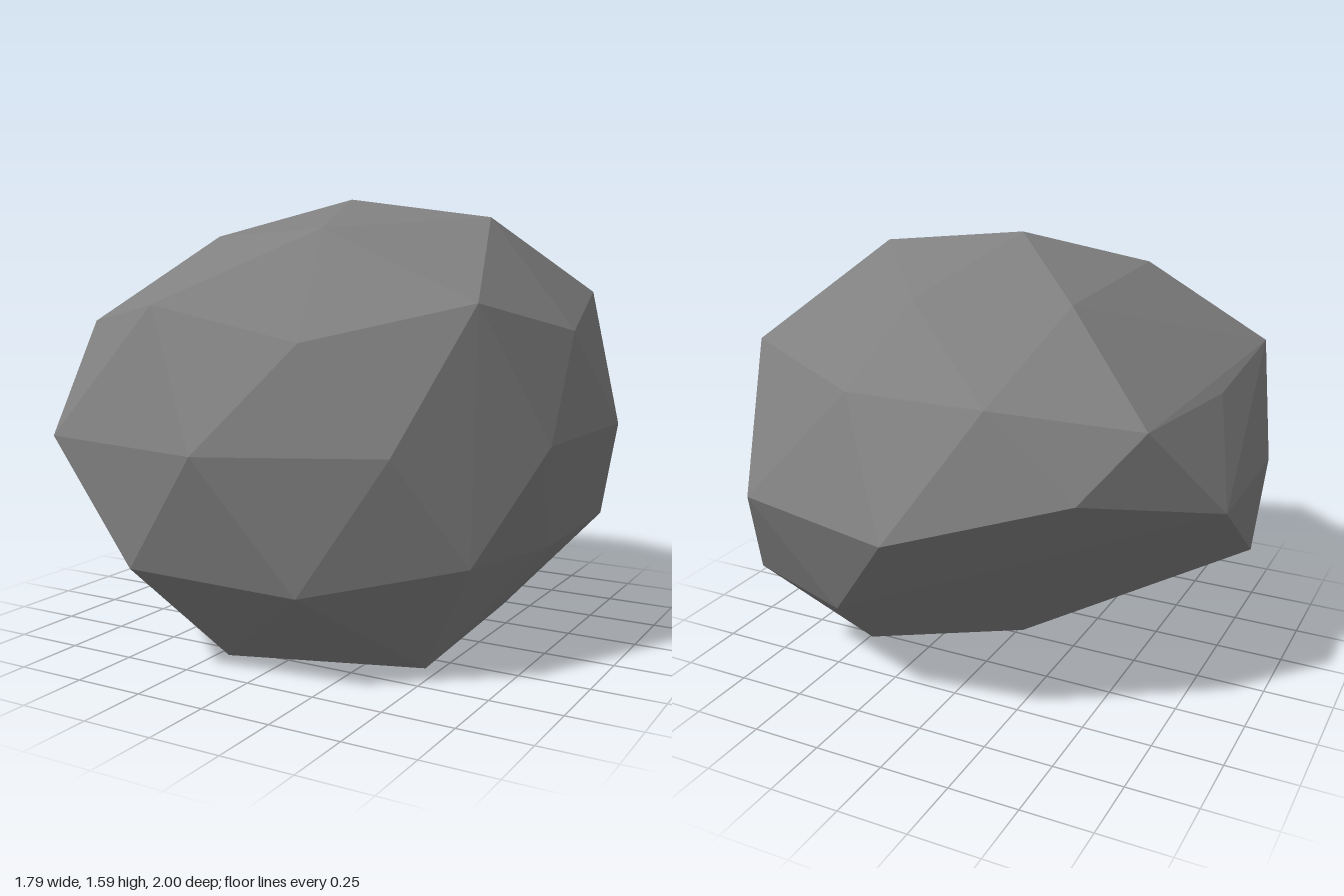
import * as THREE from 'three';
import { ConvexGeometry } from 'three/addons/geometries/ConvexGeometry.js';

// Corners of the boulder as rings, from the crown down to the base
const rings = {
  crown: [[-0.03, 1.59, 0]],
  shoulder: [[0.52, 1.52, 0], [0.13, 1.48, 0.48], [-0.38, 1.455, 0.34], [-0.36, 1.425, -0.32], [0.14, 1.43, -0.48]],
  upper: [
    [0.83, 1.14, 0], [0.7, 1.25, 0.51], [0.23, 1.13, 0.79], [-0.3, 1.235, 0.83], [-0.78, 1.155, 0.55],
    [-0.78, 1.1, 0], [-0.715, 1.12, -0.555], [-0.27, 1.19, -0.77], [0.21, 1.19, -0.79], [0.71, 1.25, -0.55],
  ],
  // Widest ring, lifted at the back right where the shear cuts it
  waist: [
    [0.86, 0.79, 0.28], [0.52, 0.79, 0.74], [-0.03, 0.79, 1], [-0.68, 0.79, 0.89], [-0.89, 0.79, 0.27],
    [-0.9, 0.79, -0.29], [-0.56, 0.92, -0.74], [-0.03, 0.79, -1], [0.58, 0.79, -0.85], [0.895, 0.79, -0.31],
  ],
  // The back right is sheared off flat, so the lower rings are open there
  lower: [
    [0.76, 0.39, 0], [0.69, 0.42, 0.52], [0.24, 0.34, 0.83], [-0.33, 0.385, 0.93],
    [-0.7, 0.36, 0.52], [-0.89, 0.5, 0.1], [0.3, 0.4, -0.77], [0.75, 0.39, -0.59],
  ],
  base: [[0.45, 0, 0.34], [-0.21, 0, 0.56], [0.45, 0.04, -0.34], [-0.02, 0, 0.03]],
};

export function createModel() {
  const group = new THREE.Group();
  group.name = 'boulder';

  const stone = new THREE.MeshStandardMaterial({ color: 0x808080 });
  stone.name = 'grey stone';
  stone.flatShading = true;

  // Faceted rock body wrapped around the rings
  const corners = Object.values(rings).flat().map((p) => new THREE.Vector3(...p));
  const rock = new THREE.Mesh(new ConvexGeometry(corners), stone);
  rock.name = 'rock';
  group.add(rock);

  return group;
}
